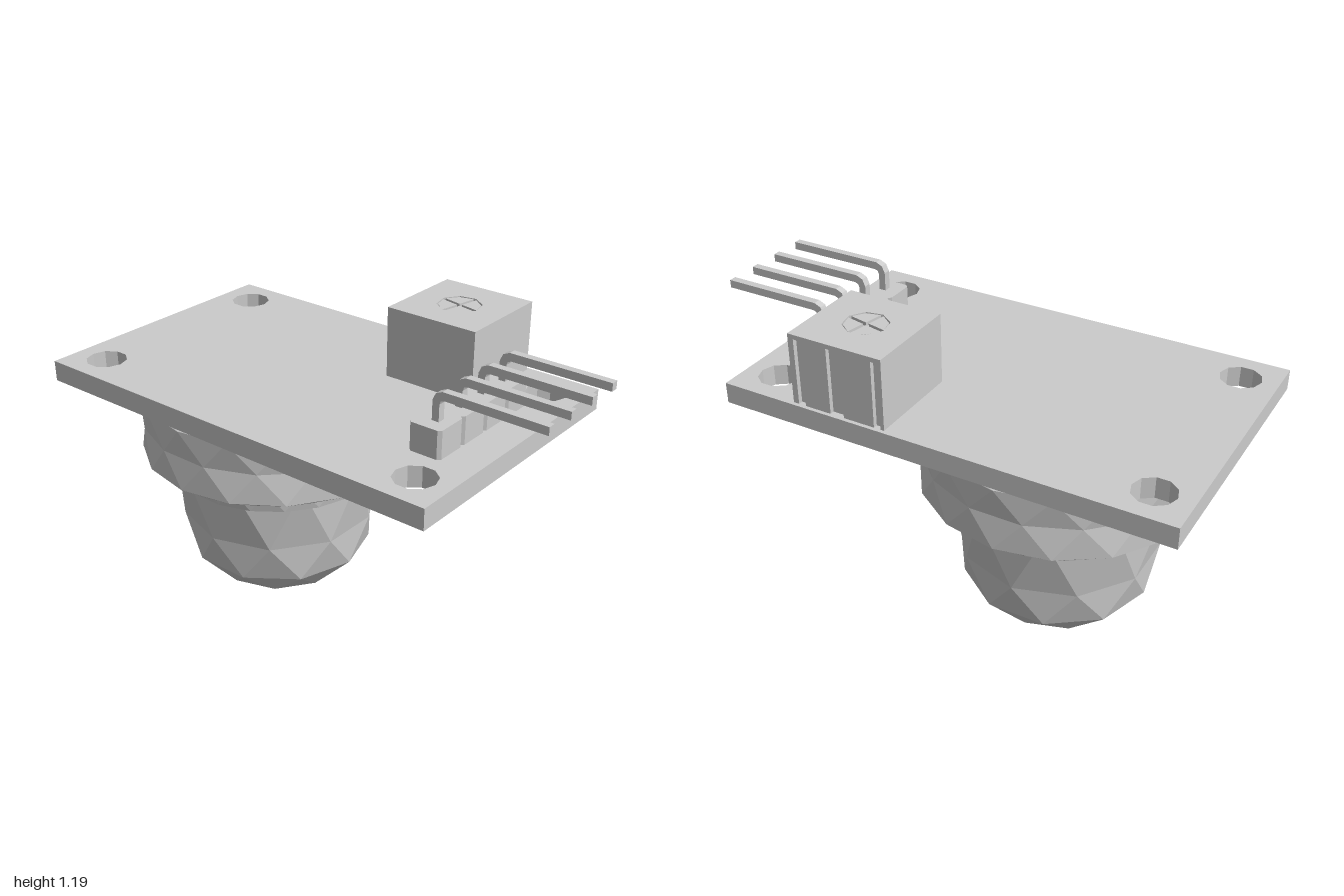
import * as THREE from 'three';

const grey = new THREE.MeshStandardMaterial({ color: 0xcccccc, flatShading: true, side: THREE.DoubleSide });

function add(parent, name, geometry, x = 0, y = 0, z = 0) {
  const mesh = new THREE.Mesh(geometry, grey);
  mesh.name = name;
  mesh.position.set(x, y, z);
  parent.add(mesh);
  return mesh;
}

// Regular polygon points in the (x, z) plan
function polygon(cx, cz, r, n, turn = 0) {
  return Array.from({ length: n }, (_, i) => {
    const a = turn + (i / n) * Math.PI * 2;
    return new THREE.Vector2(cx + r * Math.cos(a), cz + r * Math.sin(a));
  });
}

const outline = (pairs) => new THREE.Shape(pairs.map(([x, z]) => new THREE.Vector2(x, z)));
const rectangle = (x0, x1, z0, z1) => outline([[x0, z0], [x1, z0], [x1, z1], [x0, z1]]);

// Plan outline (x, z) extruded between two heights
function slab(shape, y0, y1) {
  const g = new THREE.ExtrudeGeometry(shape, { depth: y1 - y0, bevelEnabled: false });
  return g.rotateX(Math.PI / 2).translate(0, y1, 0);
}

// Faceted round body: [height, radius] rings from the bottom up, each turned half a step
function faceted(rings, sides, turn = 0) {
  const positions = [];
  const index = [];
  rings.forEach(([y, r], j) => {
    for (let i = 0; i < sides; i++) {
      const a = ((i + turn + j / 2) / sides) * Math.PI * 2;
      positions.push(r * Math.sin(a), y, r * Math.cos(a));
    }
    if (j === rings.length - 1) return;
    for (let i = 0; i < sides; i++) {
      const n = (i + 1) % sides;
      const low = j * sides;
      const up = low + sides;
      index.push(low + i, low + n, up + i, low + n, up + n, up + i);
    }
  });
  const g = new THREE.BufferGeometry();
  g.setAttribute('position', new THREE.Float32BufferAttribute(positions, 3));
  g.setIndex(index);
  const flat = g.toNonIndexed();
  flat.computeVertexNormals();
  return flat;
}

function createBoard(parent) {
  const shape = rectangle(-0.555, 0.555, -1, 0.775);
  for (const x of [-0.413, 0.413]) {
    for (const z of [-0.857, 0.637]) {
      shape.holes.push(new THREE.Path(polygon(x, z, 0.08, 10, Math.PI / 2)));
    }
  }
  add(parent, 'circuitBoard', slab(shape, 0.83, 0.912));
}

function createSensor(parent) {
  const sensor = new THREE.Group();
  sensor.name = 'sensor';
  sensor.position.z = -0.337;
  parent.add(sensor);
  add(sensor, 'lensDome', faceted(
    [[0, 0], [0, 0.2], [0.015, 0.275], [0.12, 0.372], [0.28, 0.396], [0.56, 0.428]], 10, 0.5));
  add(sensor, 'lensRim', faceted([[0.47, 0.39], [0.47, 0.424], [0.56, 0.438]], 20));
  add(sensor, 'collar', faceted(
    [[0.548, 0.4], [0.555, 0.52], [0.565, 0.542], [0.69, 0.532], [0.812, 0.542], [0.832, 0.515], [0.832, 0]], 16));
}

function createTrimmer(parent) {
  const trimmer = new THREE.Group();
  trimmer.name = 'trimmer';
  parent.add(trimmer);
  const [x0, x1, z0, z1] = [0.155, 0.54, 0.09, 0.475];

  // Body with three grooves in its outer side
  const plan = [[x0, z0], [x1, z0]];
  for (const [a, b] of [[0.105, 0.132], [0.258, 0.315], [0.422, 0.452]]) {
    plan.push([x1, a], [x1 - 0.018, a], [x1 - 0.018, b], [x1, b]);
  }
  plan.push([x1, z1], [x0, z1]);
  add(trimmer, 'trimmerBody', slab(outline(plan), 0.912, 1.172));

  // Lid with a recess for the adjusting screw
  const lid = rectangle(x0, x1, z0, z1);
  lid.holes.push(new THREE.Path(polygon(0, 0, 0.086, 8, 0.2).map((p) => p.add(new THREE.Vector2(0.345, 0.28)))));
  add(trimmer, 'trimmerLid', slab(lid, 1.172, 1.19));

  // Screw head: four quarters separated by a cross slot
  const quarter = outline([[0.007, 0.007], [0.081, 0.007], [0.057, 0.057], [0.007, 0.081]]);
  for (let i = 0; i < 4; i++) {
    const part = add(trimmer, 'screwQuarter', slab(quarter, 1.172, 1.188), 0.345, 0, 0.28);
    part.rotation.y = i * Math.PI / 2 - 0.2;
  }
}

function createHeader(parent) {
  const header = new THREE.Group();
  header.name = 'pinHeader';
  parent.add(header);

  // Chamfered block
  const w = 0.0685, d = 0.065, c = 0.012;
  const block = slab(outline([
    [-w, -d + c], [-w + c, -d], [w - c, -d], [w, -d + c],
    [w, d - c], [w - c, d], [-w + c, d], [-w, d - c]]), 0.912, 1.02);

  // Bent pin drawn from the side as (z, y)
  const side = new THREE.Shape();
  side.moveTo(0.56, 0.765);
  side.lineTo(0.59, 0.765);
  side.lineTo(0.59, 1.085);
  side.quadraticCurveTo(0.59, 1.103, 0.572, 1.103);
  side.lineTo(1, 1.103);
  side.lineTo(1, 1.134);
  side.lineTo(0.54, 1.134);
  side.curves.length = 0;
  side.moveTo(0.562, 0.765);
  side.lineTo(0.592, 0.765);
  side.lineTo(0.592, 1.085);
  side.lineTo(0.587, 1.098);
  side.lineTo(0.574, 1.103);
  const bent = outline([
    [0.562, 0.765], [0.59, 0.765], [0.59, 1.085], [0.595, 1.098], [0.608, 1.103],
    [1, 1.103], [1, 1.134], [0.6, 1.134], [0.574, 1.122], [0.562, 1.095]]);
  const pin = new THREE.ExtrudeGeometry(bent, { depth: 0.03, bevelEnabled: false })
    .rotateY(-Math.PI / 2).translate(0.015, 0, 0);

  for (let i = 0; i < 4; i++) {
    const x = -0.2075 + i * 0.137;
    add(header, 'headerBlock', block, x, 0, 0.57);
    add(header, 'headerPin', pin, x);
  }
}

export function createModel() {
  const model = new THREE.Group();
  model.name = 'motionSensorModule';
  createBoard(model);
  createSensor(model);
  createTrimmer(model);
  createHeader(model);
  return model;
}
